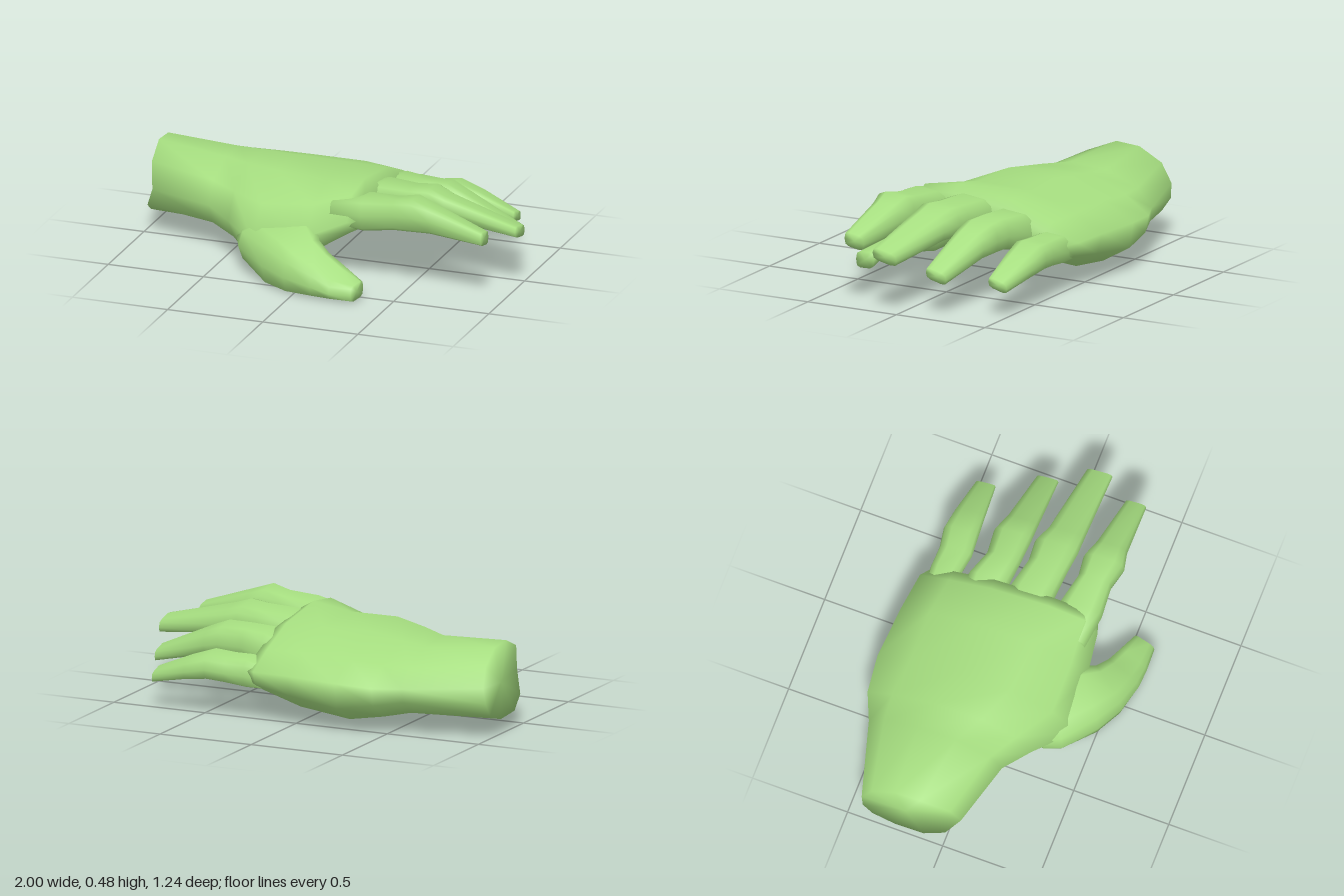
import * as THREE from 'three';

const skin = new THREE.MeshStandardMaterial({ color: 0xa6de80 });
skin.name = 'green skin';

// Skin a list of rings that run along +x; both ends are closed and shaded smoothly.
function loft(name, rings) {
  const n = rings[0].length, pos = [], index = [];
  rings.forEach(r => r.forEach(p => pos.push(...p)));
  for (let r = 0; r < rings.length - 1; r++) {
    for (let i = 0; i < n; i++) {
      const a = r * n + i, b = r * n + (i + 1) % n;
      index.push(a, a + n, b, b, a + n, b + n);
    }
  }
  [0, rings.length - 1].forEach(r => {
    const centre = pos.length / 3;
    pos.push(...[0, 1, 2].map(k => rings[r].reduce((s, p) => s + p[k], 0) / n));
    for (let i = 0; i < n; i++) {
      const a = r * n + i, b = r * n + (i + 1) % n;
      if (r) index.push(centre, b, a);
      else index.push(centre, a, b);
    }
  });
  const geo = new THREE.BufferGeometry();
  geo.setAttribute('position', new THREE.Float32BufferAttribute(pos, 3));
  geo.setIndex(index);
  geo.computeVertexNormals();
  const mesh = new THREE.Mesh(geo, skin);
  mesh.name = name;
  return mesh;
}

// Rounded-box ring between an outer and an inner edge point, tilted so the outer side rises by tilt.
function digitRing([ox, oz, ix, iz, bottom, top], tilt) {
  const ring = [], soft = v => Math.sign(v) * Math.pow(Math.abs(v), 0.55);
  const half = (top - bottom) / 2 - Math.abs(tilt) * 0.6;
  for (let i = 0; i < 10; i++) {
    const a = (i / 10) * Math.PI * 2;
    const u = soft(Math.cos(a)), v = soft(Math.sin(a)), t = (u + 1) / 2;
    ring.push([ix + (ox - ix) * t, (top + bottom) / 2 + half * v + tilt * u, iz + (oz - iz) * t]);
  }
  return ring;
}

// Straight finger sections: x, z of the thumb side, z of the far side, bottom, top.
const finger = (name, tilt, sections) => loft(name,
  sections.map(([x, z1, z2, y0, y1]) => digitRing([x, z1, x, z2, y0, y1], tilt)));

export function createModel() {
  const hand = new THREE.Group();
  hand.name = 'hand';

  // Palm: rings of [z, y], from thumb side over the back and under the palm
  const palm = [
    [-0.6, [[.16, .25], [.1, .36], [-.08, .425], [-.28, .41], [-.46, .34], [-.54, .25], [-.53, .18], [-.44, .11], [-.27, .09], [-.06, .09], [.1, .14]]],
    [-0.46, [[.26, .22], [.18, .35], [0, .435], [-.25, .42], [-.47, .34], [-.6, .25], [-.58, .16], [-.46, .08], [-.25, .08], [0, .09], [.18, .11]]],
    [-0.27, [[.42, .18], [.3, .35], [.08, .45], [-.2, .435], [-.45, .35], [-.62, .26], [-.6, .13], [-.45, .045], [-.2, .055], [.1, .07], [.36, .04]]],
    [0, [[.38, .24], [.3, .38], [.1, .443], [-.2, .432], [-.45, .35], [-.6, .265], [-.57, .16], [-.45, .08], [-.15, .11], [.12, .13], [.34, .14]]],
    [0.2, [[.36, .33], [.29, .45], [.1, .475], [-.2, .43], [-.42, .34], [-.575, .26], [-.55, .19], [-.47, .15], [-.2, .18], [.1, .23], [.3, .26]]],
    [0.26, [[.34, .34], [.27, .43], [.1, .44], [-.2, .4], [-.42, .31], [-.53, .25], [-.51, .2], [-.45, .17], [-.2, .21], [.1, .26], [.28, .29]]]
  ];
  // Slanted wrist end
  const wrist = [[-.93, .26, .07], [-.95, .39, .02], [-.97, .45, -.13], [-.97, .44, -.26], [-.98, .37, -.38], [-.99, .27, -.43],
    [-1, .19, -.42], [-1, .12, -.37], [-1, .08, -.25], [-1, .09, -.1], [-.98, .15, .005]];
  hand.add(loft('palm', [wrist, ...palm.map(([x, ring]) => ring.map(([z, y]) => [x, y, z]))]));

  // Fingers with a thick knuckle and a blunt tip
  hand.add(finger('indexFinger', 0.01, [
    [.1, .33, .14, .27, .42], [.27, .355, .13, .265, .455], [.43, .345, .17, .29, .465],
    [.53, .375, .16, .3, .485], [.62, .355, .19, .3, .455], [.9, .35, .24, .275, .36]]));
  hand.add(finger('middleFinger', 0.015, [
    [.1, .1, -.1, .25, .42], [.27, .1, -.13, .25, .45], [.43, .115, -.09, .28, .45],
    [.53, .13, -.095, .295, .46], [.62, .13, -.06, .29, .43], [1, .135, 0, .25, .33]]));
  hand.add(finger('ringFinger', 0.015, [
    [.1, -.16, -.33, .21, .36], [.27, -.14, -.35, .2, .405], [.4, -.125, -.3, .23, .405],
    [.53, -.115, -.31, .24, .405], [.62, -.115, -.28, .23, .37], [.91, -.115, -.23, .165, .24]]));
  hand.add(finger('littleFinger', 0.015, [
    [.1, -.42, -.53, .16, .29], [.27, -.39, -.545, .16, .315], [.38, -.37, -.54, .17, .31],
    [.48, -.375, -.555, .18, .32], [.6, -.385, -.54, .165, .28], [.79, -.4, -.505, .13, .2]]));

  // Thumb swinging out and down from the side of the palm
  const thumb = [
    [-.4, .3, -.14, .1, .12, .28], [-.36, .385, -.04, .18, .07, .3], [-.19, .51, .04, .31, .0, .29],
    [-.05, .58, .08, .39, .0, .25], [.1, .615, .14, .43, .015, .2], [.2, .618, .23, .465, .02, .15],
    [.315, .615, .34, .5, .01, .1]];
  hand.add(loft('thumb', thumb.map((s, i) => digitRing(s, i < 6 ? -0.04 : -0.005))));
  return hand;
}
